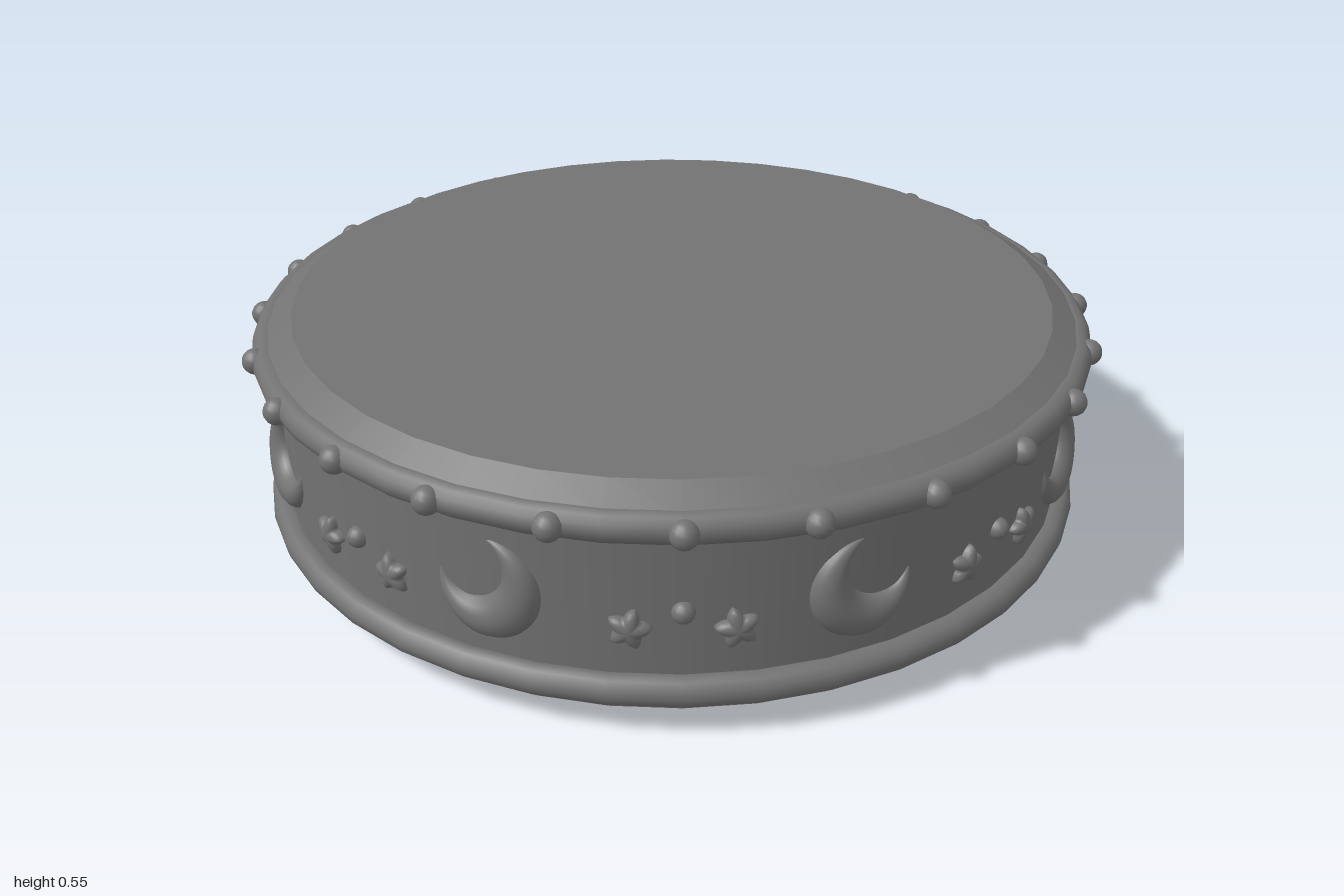
import * as THREE from 'three';
import { ParametricGeometry } from 'three/addons/geometries/ParametricGeometry.js';
import { mergeVertices } from 'three/addons/utils/BufferGeometryUtils.js';

const SEG = 40;      // sides of the round shell
const WALL = 0.935;  // wall radius
const SINK = 0.008;  // how far reliefs reach through the wall
const deg = THREE.MathUtils.degToRad;
const lerp = THREE.MathUtils.lerp;
const mat = new THREE.MeshStandardMaterial({ color: 0x727272 });
const sheetMat = new THREE.MeshStandardMaterial({ color: 0x727272, side: THREE.DoubleSide });

// Places a point of a flat relief (x along the wall, y up, depth outward) on the wall
function wrap(x, y, depth, target) {
  const a = x / WALL, r = WALL + depth;
  target.set(r * Math.sin(a), y, r * Math.cos(a));
}

function relief(fn, slices, stacks) {
  let g = new ParametricGeometry(fn, slices, stacks);
  g.deleteAttribute('uv');
  g.deleteAttribute('normal');
  g = mergeVertices(g, 1e-5);
  g.computeVertexNormals();
  return g;
}

// Domed crescent whose opening points along the given angle
function crescent(opening) {
  const R = 0.114, offset = 0.06, tip = deg(33);
  const tipX = R * Math.cos(tip) - offset, tipY = R * Math.sin(tip);
  const r = Math.hypot(tipX, tipY), innerTip = Math.atan2(tipY, tipX);
  const c = Math.cos(opening), s = Math.sin(opening);
  return relief((u, v, target) => {
    const p = lerp(tip, 2 * Math.PI - tip, u);
    const q = lerp(innerTip, 2 * Math.PI - innerTip, u);
    const ox = R * Math.cos(p), oy = R * Math.sin(p);
    const ix = offset + r * Math.cos(q), iy = r * Math.sin(q);
    const a = v * Math.PI * 2, k = (1 + Math.cos(a)) / 2;
    const x = lerp(ix, ox, k), y = lerp(iy, oy, k);
    const h = 0.42 * Math.hypot(ox - ix, oy - iy);
    wrap(x * c - y * s, x * s + y * c, h * Math.max(Math.sin(a), 0) - SINK, target);
  }, 32, 16);
}

// Softly domed five-pointed star, tilted and shifted sideways along the wall
function star(cx, tilt) {
  return relief((u, v, target) => {
    const point = Math.abs(2 * ((u * 5) % 1) - 1);
    const t = u * Math.PI * 2 + Math.PI / 2 + tilt;
    const a = (v - 0.5) * Math.PI;
    const rho = lerp(0.027, 0.047, point) * Math.cos(a);
    const rise = 0.03 * Math.sqrt(Math.max(Math.sin(a), 0));
    wrap(cx + rho * Math.cos(t), rho * Math.sin(t), rise - SINK, target);
  }, 40, 16);
}

export function createModel() {
  const model = new THREE.Group();
  const add = (name, geo, y = 0, turn = 0, material = mat) => {
    const m = new THREE.Mesh(geo, material);
    m.name = name;
    m.position.y = y;
    m.rotation.y = turn;
    model.add(m);
  };

  // Thin shell, open at the bottom, one band per sharp-edged section
  const bands = [
    ['bottomLip', 0.875, 0, WALL, 0.045],
    ['wall', WALL, 0.045, WALL, 0.49],
    ['headBevel', 0.953, 0.505, 0.885, 0.545],
    ['drumHead', 0.885, 0.545, 0, 0.545],
  ];
  for (const [name, r0, y0, r1, y1] of bands) {
    const profile = [new THREE.Vector2(r0, y0), new THREE.Vector2(r1, y1)];
    add(name, new THREE.LatheGeometry(profile, SEG), 0, 0, sheetMat);
  }

  // Rounded hoops
  const hoop = new THREE.TorusGeometry(0.944, 0.034, 12, SEG).rotateX(Math.PI / 2);
  add('upperHoop', hoop, 0.479);
  add('lowerHoop', hoop, 0.098);

  // Studs around the upper hoop
  const stud = new THREE.SphereGeometry(0.03, 14, 10).translate(0, 0, 0.97);
  for (let i = 0; i < 24; i++) add('hoopStud', stud, 0.479, deg(i * 15));

  // Reliefs, repeated on four sides: a pair of facing moons with star groups between
  const leftMoon = crescent(deg(130)), rightMoon = crescent(deg(50));
  const stars = [star(0.105, deg(14)), star(-0.105, deg(-14))];
  const bead = new THREE.SphereGeometry(0.024, 14, 10).translate(0, 0, WALL);
  for (let i = 0; i < 4; i++) {
    const side = deg(i * 90 - 0.9);
    add('moonRelief', leftMoon, 0.285, side + deg(22));
    add('moonRelief', rightMoon, 0.285, side - deg(22));
  }
  for (let i = 0; i < 8; i++) {
    const turn = deg(i * 45);
    for (const s of stars) add('starRelief', s, 0.239, turn);
    add('bead', bead, 0.28, turn);
  }
  return model;
}
